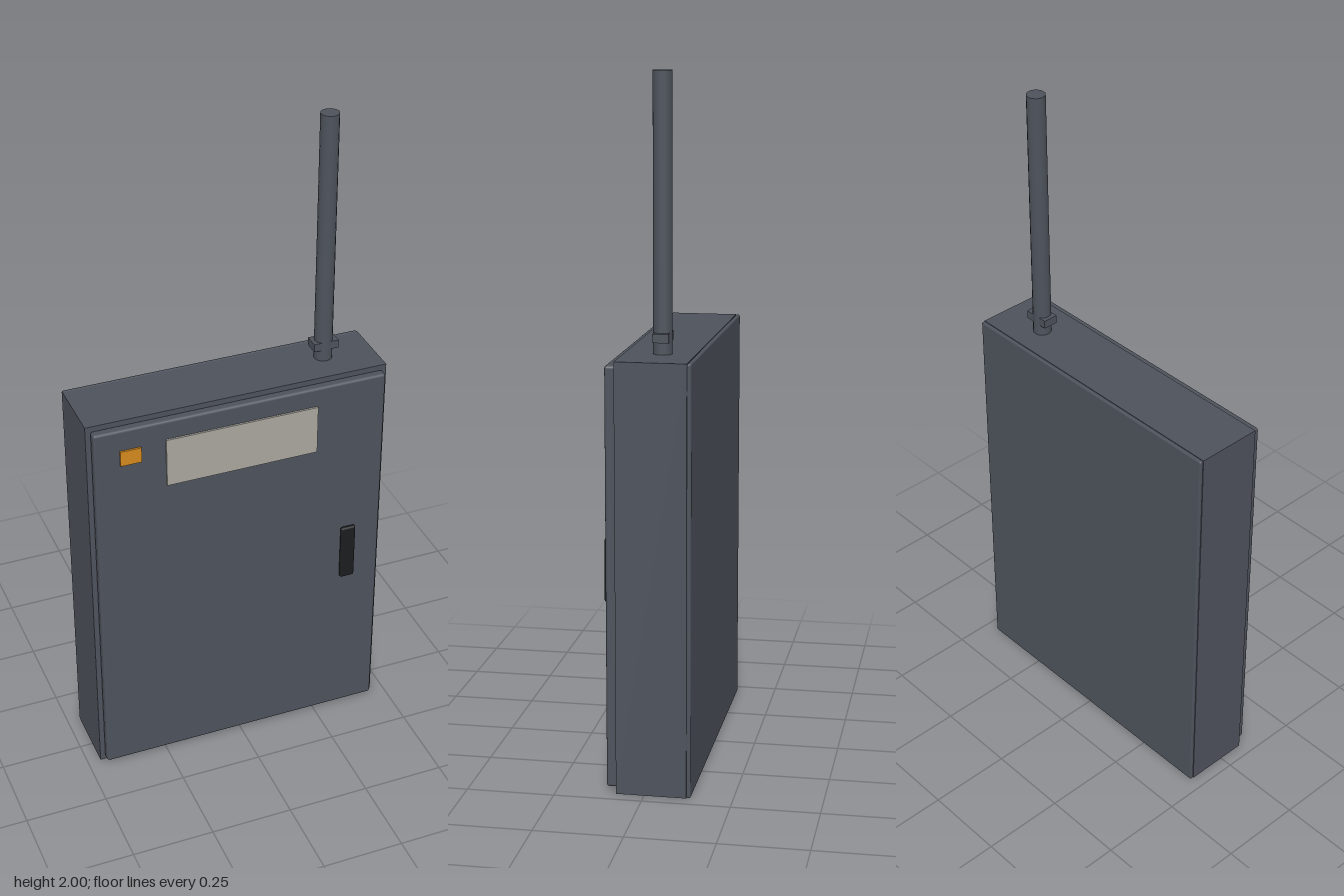
import * as THREE from 'three';
import { RoundedBoxGeometry } from 'three/addons/geometries/RoundedBoxGeometry.js';

export function createModel() {
  const group = new THREE.Group();
  const material = (name, color) => {
    const m = new THREE.MeshStandardMaterial({ color });
    m.name = name;
    return m;
  };
  const paint = material('slate paint', 0x4e535c);
  const black = material('black plastic', 0x1c1d1f);
  const plate = material('pale plate', 0xaaa79e);
  const amber = material('amber', 0xd68a1e);

  const add = (name, geometry, mat, x, y, z) => {
    const mesh = new THREE.Mesh(geometry, mat);
    mesh.name = name;
    mesh.position.set(x, y, z);
    group.add(mesh);
    return mesh;
  };
  // Box given by its limits on each axis, with optional rounded edges
  const box = (name, mat, [x0, x1], [y0, y1], [z0, z1], radius = 0) => {
    const size = [x1 - x0, y1 - y0, z1 - z0];
    const geometry = radius
      ? new RoundedBoxGeometry(...size, 2, radius)
      : new THREE.BoxGeometry(...size);
    return add(name, geometry, mat, (x0 + x1) / 2, (y0 + y1) / 2, (z0 + z1) / 2);
  };

  // Cabinet shell, back panel and door
  box('cabinetBody', paint, [-0.46, 0.46], [0, 1.23], [-0.12, 0.08]);
  box('backPanel', paint, [-0.46, 0.46], [0, 1.23], [-0.132, -0.119], 0.005);
  box('door', paint, [-0.446, 0.446], [0.014, 1.216], [0.079, 0.11], 0.008);

  // Door fittings
  box('doorHandle', black, [0.314, 0.36], [0.527, 0.71], [0.116, 0.131], 0.006);
  box('namePlate', plate, [-0.234, 0.231], [1.002, 1.156], [0.108, 0.116]);
  box('warningLabel', amber, [-0.371, -0.308], [1.102, 1.15], [0.108, 0.116]);

  // Conduit rising from the roof, with its clamp
  add('conduit', new THREE.CylinderGeometry(0.027, 0.027, 0.775, 16), paint, 0.306, 1.6125, -0.027);
  box('conduitClamp', paint, [0.268, 0.345], [1.265, 1.29], [-0.05, -0.004]);

  return group;
}
